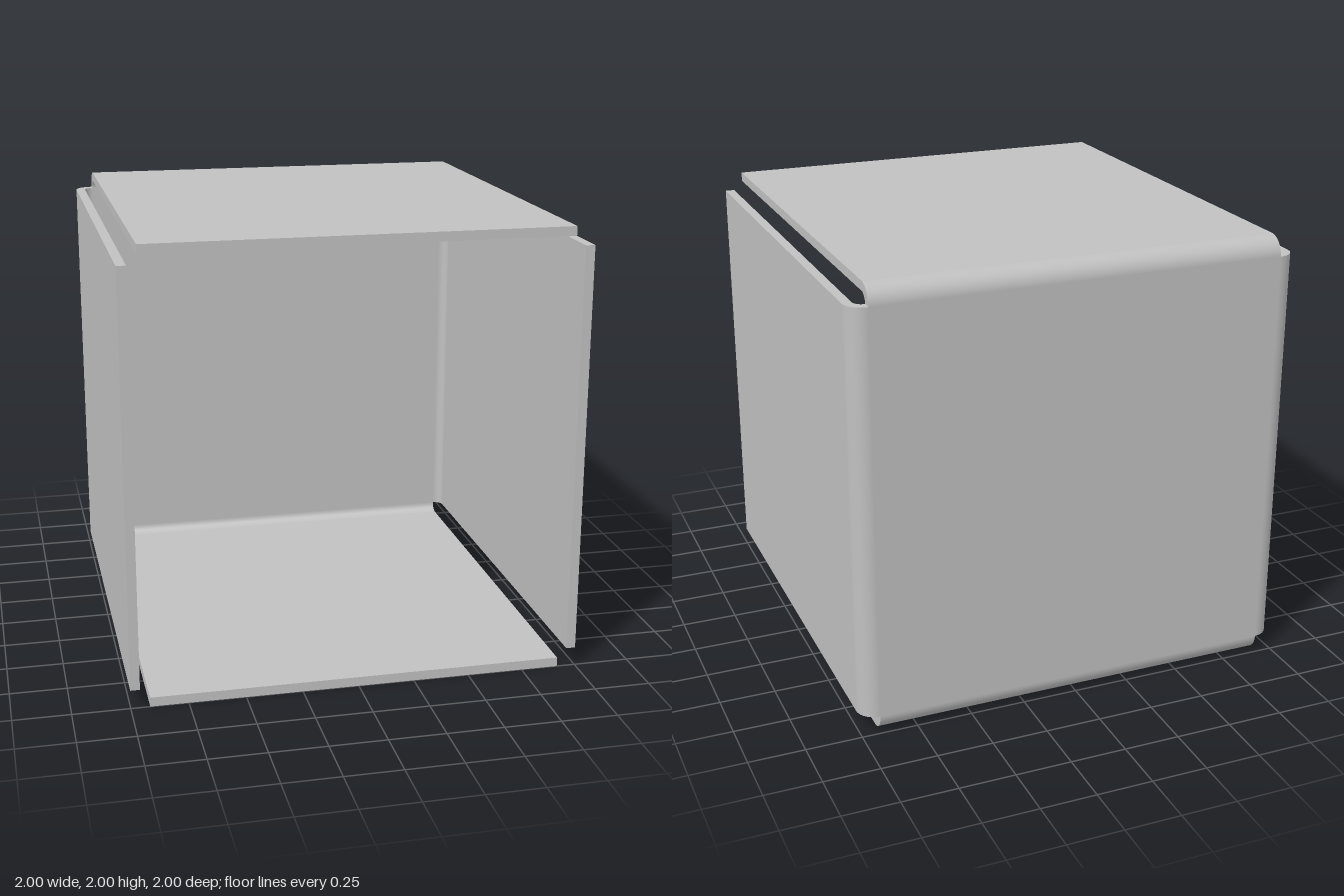
import * as THREE from 'three';

const T = 1 / 24;        // sheet thickness
const R = 2 * T;         // outer bend radius
const W = 1 - R;         // half width of every panel
const BEND_STEPS = 16;

// Adds one quad; winding is chosen so that it faces along its normals
function addQuad(out, corners, normals) {
  const [a, b, c] = corners;
  const face = b.clone().sub(a).cross(c.clone().sub(a));
  const order = face.dot(normals[0]) > 0 ? [0, 1, 2, 0, 2, 3] : [0, 2, 1, 0, 3, 2];
  for (const i of order) {
    out.position.push(...corners[i].toArray());
    out.normal.push(...normals[i].toArray());
  }
}

function toGeometry(out) {
  const g = new THREE.BufferGeometry();
  g.setAttribute('position', new THREE.Float32BufferAttribute(out.position, 3));
  g.setAttribute('normal', new THREE.Float32BufferAttribute(out.normal, 3));
  return g;
}

// Top wall with its rounded bend down to the back panel
function wallGeometry() {
  const out = { position: [], normal: [] };
  const profile = [];
  for (let i = 0; i <= BEND_STEPS; i++) {
    const a = (i / BEND_STEPS) * Math.PI / 2;
    const n = new THREE.Vector3(0, Math.sin(a), -Math.cos(a));
    const centre = new THREE.Vector3(0, W, -W);
    profile.push({
      n,
      outer: centre.clone().addScaledVector(n, R),
      inner: centre.clone().addScaledVector(n, R - T),
    });
  }
  const up = new THREE.Vector3(0, 1, 0);
  const end = { n: up, outer: new THREE.Vector3(0, 1, 1), inner: new THREE.Vector3(0, 1 - T, 1) };
  profile.push(end);

  const at = (p, x) => p.clone().setX(x);
  for (let i = 0; i < profile.length - 1; i++) {
    const p = profile[i], q = profile[i + 1];
    // outer and inner skins
    for (const [skin, sign] of [['outer', 1], ['inner', -1]]) {
      const np = p.n.clone().multiplyScalar(sign), nq = q.n.clone().multiplyScalar(sign);
      addQuad(out, [at(p[skin], -W), at(p[skin], W), at(q[skin], W), at(q[skin], -W)], [np, np, nq, nq]);
    }
    // cut edges on both sides
    for (const s of [-1, 1]) {
      const n = new THREE.Vector3(s, 0, 0);
      addQuad(out, [p.outer, q.outer, q.inner, p.inner].map((v) => at(v, s * W)), [n, n, n, n]);
    }
  }
  // front cut edge
  const front = new THREE.Vector3(0, 0, 1);
  addQuad(out, [at(end.outer, -W), at(end.outer, W), at(end.inner, W), at(end.inner, -W)],
    [front, front, front, front]);
  return toGeometry(out);
}

// Both skins of the back panel; its rim joins the four bends
function backGeometry() {
  const out = { position: [], normal: [] };
  for (const [z, s] of [[-1, -1], [-1 + T, 1]]) {
    const n = new THREE.Vector3(0, 0, s);
    addQuad(out, [[-W, -W], [W, -W], [W, W], [-W, W]].map(([x, y]) => new THREE.Vector3(x, y, z)), [n, n, n, n]);
  }
  return toGeometry(out);
}

export function createModel() {
  const model = new THREE.Group();
  model.name = 'foldedSheetBox';
  const metal = new THREE.MeshStandardMaterial({ color: 0xc0c0c0 });
  metal.name = 'greySheetMetal';

  const back = new THREE.Mesh(backGeometry(), metal);
  back.name = 'backPanel';
  back.position.y = 1;
  model.add(back);

  // four identical walls turned around the box axis
  const wall = wallGeometry();
  ['topWall', 'rightWall', 'bottomWall', 'leftWall'].forEach((name, i) => {
    const mesh = new THREE.Mesh(wall, metal);
    mesh.name = name;
    mesh.position.y = 1;
    mesh.rotation.z = i * Math.PI / 2;
    model.add(mesh);
  });
  return model;
}
